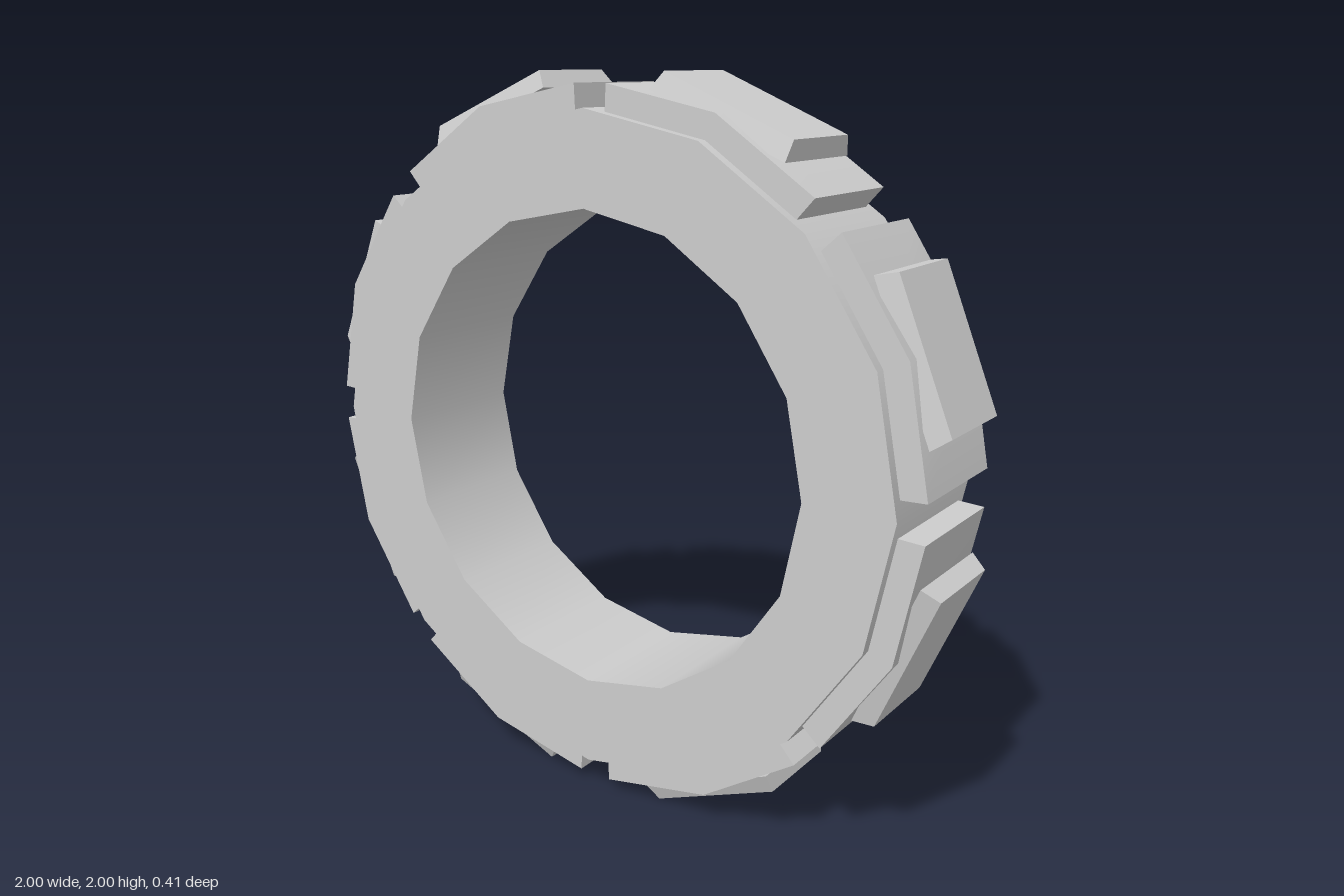
import * as THREE from 'three';
import { mergeGeometries, toCreasedNormals } from 'three/addons/utils/BufferGeometryUtils.js';

const SIDES = 16, STEP = (Math.PI * 2) / SIDES;

// point at an angle measured from the top of the wheel
const polar = (r, a) => new THREE.Vector2(r * Math.sin(a), r * Math.cos(a));

// ring swept from a rectangle, one strip per side so its rims stay sharp
function ringGeometry() {
  const outer = 0.91, inner = 0.66, half = 0.205;
  const corners = [[outer, -half], [outer, half], [inner, half], [inner, -half]]
    .map(([r, y]) => new THREE.Vector2(r, y));
  const strips = corners.map((c, i) => new THREE.LatheGeometry([c, corners[(i + 1) % 4]], SIDES));
  return mergeGeometries(strips).rotateX(Math.PI / 2);
}

// bent plate spanning two facets, symmetrical about the top
function plateGeometry() {
  const end = STEP - THREE.MathUtils.degToRad(3), depth = 0.35;
  const endScale = Math.cos(STEP / 2) / Math.cos(end - STEP / 2);
  const outer = 0.98, inner = 0.89;
  const shape = new THREE.Shape([
    polar(outer * endScale, -end), polar(outer, 0), polar(outer * endScale, end),
    polar(inner * endScale, end), polar(inner, 0), polar(inner * endScale, -end),
  ]);
  const g = new THREE.ExtrudeGeometry(shape, { depth, bevelEnabled: false });
  g.translate(0, 0, -depth / 2);
  return toCreasedNormals(g, Math.PI / 6);
}

// tapered block: wider at its foot than at its outer face
function padGeometry() {
  const foot = 0.948, top = 1.0;
  const g = new THREE.BoxGeometry(2, top - foot, 2);
  const p = g.attributes.position;
  for (let i = 0; i < p.count; i++) {
    const isTop = p.getY(i) > 0;
    p.setX(i, p.getX(i) * (isTop ? 0.199 : 0.21));
    p.setZ(i, p.getZ(i) * (isTop ? 0.133 : 0.155));
  }
  g.translate(0, (top + foot) / 2, 0);
  g.computeVertexNormals();
  return g;
}

export function createModel() {
  const model = new THREE.Group();
  model.name = 'treadedRing';
  const grey = new THREE.MeshStandardMaterial({ color: 0xcccccc });
  grey.name = 'grey';

  const add = (parent, name, geometry) => {
    const mesh = new THREE.Mesh(geometry, grey);
    mesh.name = name;
    parent.add(mesh);
  };

  // main ring
  add(model, 'ring', ringGeometry());

  // eight tread segments, each a bent plate carrying a raised pad
  const plate = plateGeometry(), pad = padGeometry();
  for (let i = 0; i < 8; i++) {
    const segment = new THREE.Group();
    segment.name = 'treadSegment' + (i + 1);
    add(segment, 'treadPlate', plate);
    add(segment, 'treadPad', pad);
    segment.rotation.z = -(2 * i + 1) * STEP;
    model.add(segment);
  }

  // stand the wheel on the ground plane
  model.children.forEach((part) => { part.position.y = 1; });
  return model;
}
